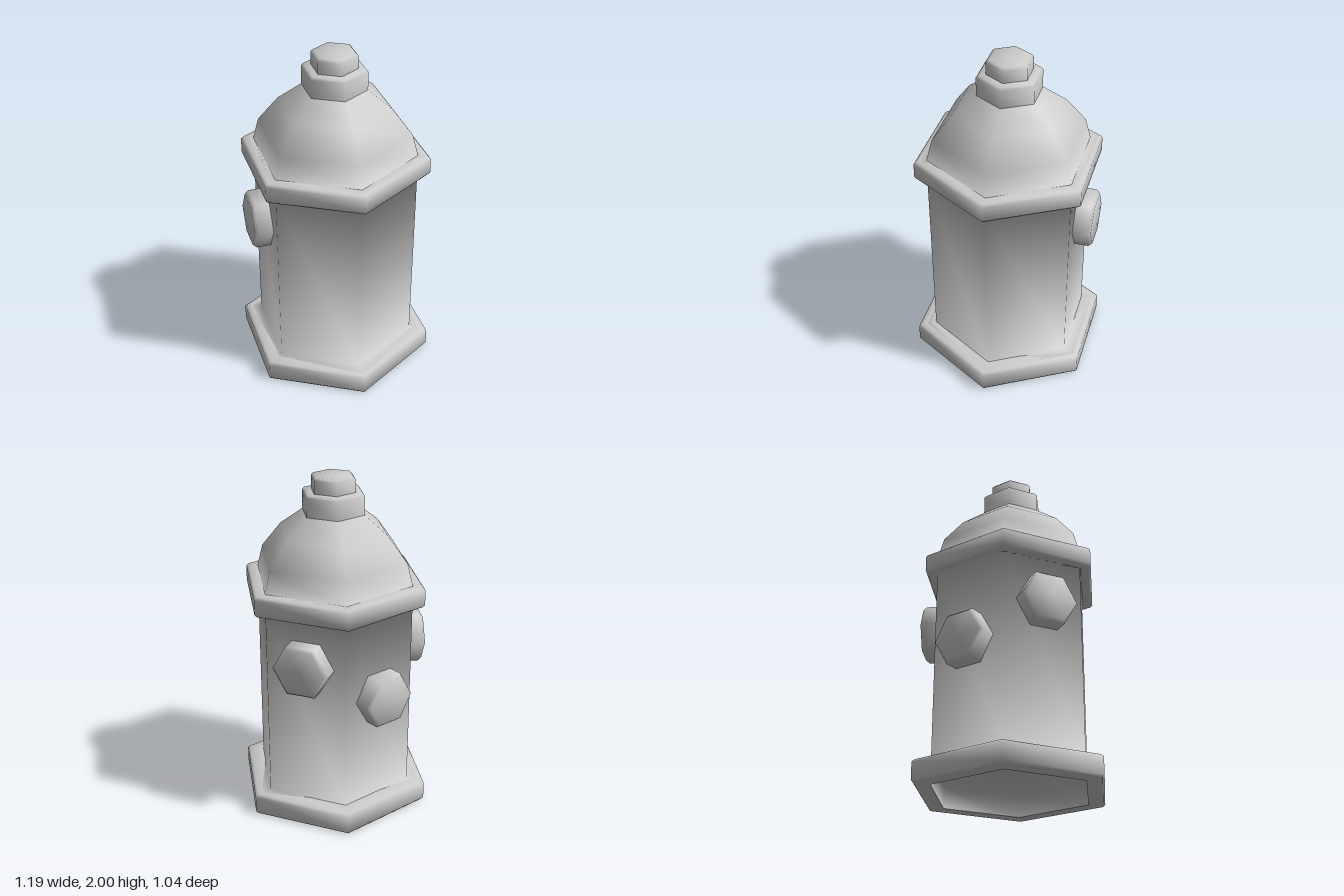
import * as THREE from 'three';

const material = new THREE.MeshStandardMaterial({ color: 0xcccccc });

// Six-sided turned part with corners on +x / -x and evenly blended smooth normals.
// The profile lists [radius, height] points, running upward on the outside.
function hexLathe(name, profile) {
  const pts = profile.map(([r, y]) => new THREE.Vector2(r, y));
  const geometry = new THREE.LatheGeometry(pts, 6, Math.PI / 2);
  const faceNormals = pts.slice(1).map((p, i) => {
    const d = p.clone().sub(pts[i]).normalize();
    return new THREE.Vector2(d.y, -d.x);
  });
  const normals = geometry.attributes.normal;
  for (let i = 0; i < pts.length; i++) {
    const n = new THREE.Vector2();
    if (i > 0) n.add(faceNormals[i - 1]);
    if (i < pts.length - 1) n.add(faceNormals[i]);
    if (pts[i].x === 0) n.x = 0;
    n.normalize();
    for (let j = 0; j <= 6; j++) {
      const a = Math.PI / 2 + (j * Math.PI) / 3;
      normals.setXYZ(j * pts.length + i, n.x * Math.sin(a), n.y, n.x * Math.cos(a));
    }
  }
  const mesh = new THREE.Mesh(geometry, material);
  mesh.name = name;
  return mesh;
}

// Hexagonal outlet cap on one wall, turned about the vertical axis from the back
function outletCap(name, y, angle) {
  const mesh = hexLathe(name, [[0.17, 0.4], [0.17, 0.505], [0.15, 0.527], [0, 0.527]]);
  mesh.geometry.rotateX(-Math.PI / 2);
  mesh.rotation.y = angle;
  mesh.position.y = y;
  return mesh;
}

export function createModel() {
  const model = new THREE.Group();
  model.name = 'hydrant';

  // Foot ring with a shallow recess underneath
  model.add(hexLathe('baseRecess', [[0, 0.12], [0.485, 0.12], [0.485, 0]]));
  model.add(hexLathe('baseFlange', [
    [0.485, 0], [0.585, 0], [0.597, 0.015], [0.597, 0.115], [0.58, 0.13], [0.485, 0.13],
  ]));

  // Barrel, blending into both flanges
  model.add(hexLathe('barrel', [[0.56, 0.13], [0.486, 0.13], [0.486, 1.28], [0.54, 1.28]]));

  // Upper flange and stepped dome
  model.add(hexLathe('upperFlange', [
    [0.486, 1.28], [0.545, 1.28], [0.56, 1.295], [0.56, 1.385], [0.545, 1.4], [0.485, 1.4],
  ]));
  model.add(hexLathe('dome', [
    [0.53, 1.4], [0.485, 1.4], [0.45, 1.53], [0.33, 1.68], [0.19, 1.785],
  ]));

  // Collar and operating nut
  model.add(hexLathe('collar', [
    [0.19, 1.77], [0.19, 1.895], [0.178, 1.91], [0.12, 1.91],
  ]));
  model.add(hexLathe('topNut', [
    [0.135, 1.9], [0.135, 1.985], [0.12, 2], [0, 2],
  ]));

  // Outlet caps: two high at the sides, one lower at the back
  model.add(outletCap('leftOutletCap', 1, -Math.PI / 3));
  model.add(outletCap('rightOutletCap', 1, Math.PI / 3));
  model.add(outletCap('backOutletCap', 0.785, 0));

  model.position.z = 0.005;
  return model;
}
